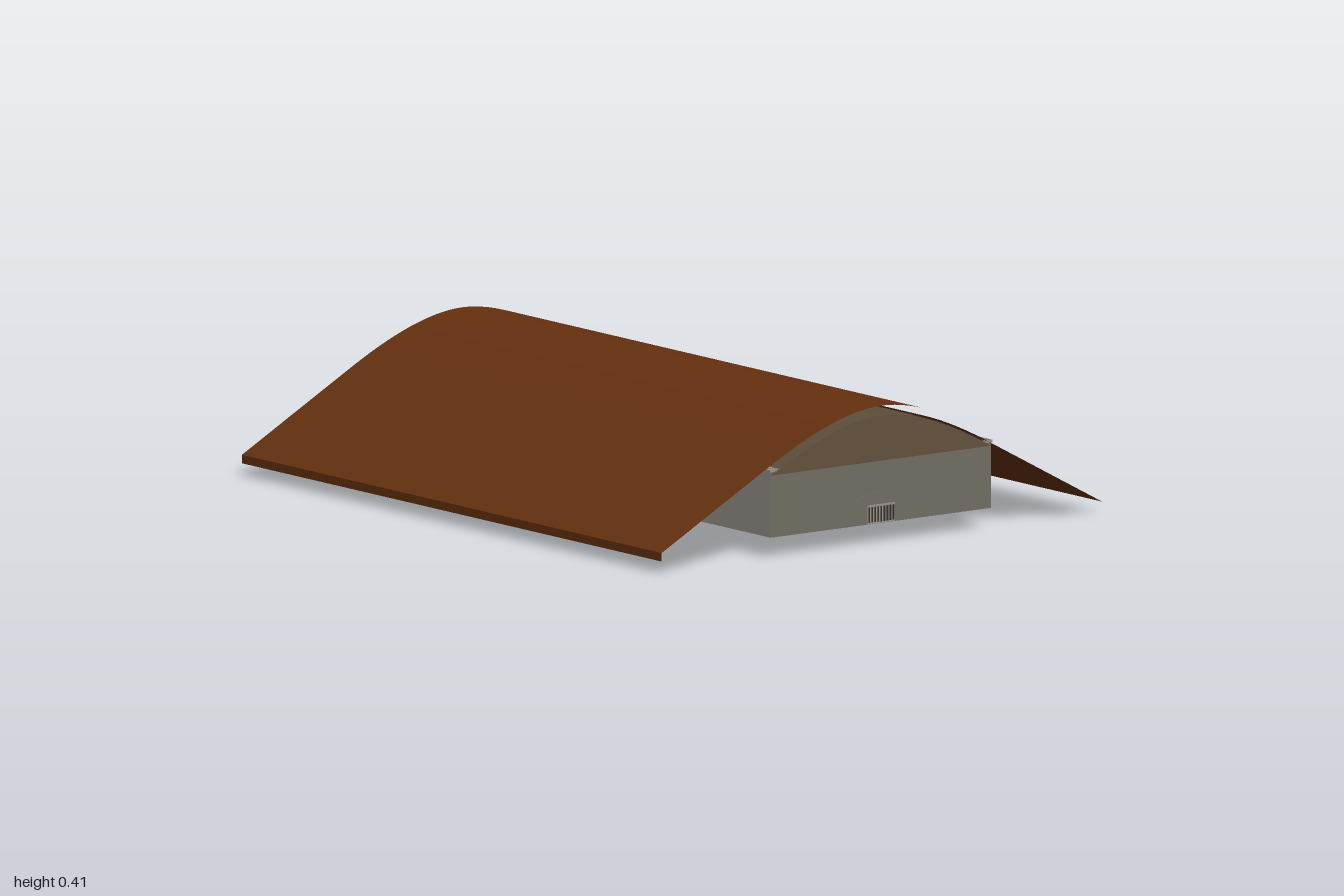
import * as THREE from 'three';

const mat = (name, color, side = THREE.FrontSide) => {
  const m = new THREE.MeshStandardMaterial({ color, side });
  m.name = name;
  return m;
};

// Straight eaves with a rounded crown, listed from -x to +x
function crownProfile(edge, shoulder, apex, control) {
  const half = new THREE.QuadraticBezierCurve(
    new THREE.Vector2(shoulder[0], shoulder[1]),
    new THREE.Vector2(control, apex),
    new THREE.Vector2(0, apex)
  ).getPoints(14);
  if (edge) half.unshift(new THREE.Vector2(edge[0], edge[1]));
  const left = half.map(p => new THREE.Vector2(-p.x, p.y));
  return left.concat(half.slice(0, -1).reverse());
}

// Sweep a profile in z; it faces the left-hand side of the profile direction
function ribbon(points, z0, z1) {
  const pos = [], index = [];
  points.forEach((p, i) => {
    pos.push(p.x, p.y, z1, p.x, p.y, z0);
    if (i) {
      const a = 2 * (i - 1);
      index.push(a, a + 2, a + 3, a, a + 3, a + 1);
    }
  });
  const g = new THREE.BufferGeometry();
  g.setAttribute('position', new THREE.Float32BufferAttribute(pos, 3));
  g.setIndex(index);
  g.computeVertexNormals();
  return g;
}

export function createModel() {
  const model = new THREE.Group();
  const roofBrown = mat('roof brown', 0x65300f);
  const olive = mat('olive grey', 0x706e62);
  const beige = mat('beige grey', 0x99928a);
  const backGrey = mat('back grey', 0x807d76);
  const tan = mat('tan', 0x80664a);
  const gableBrown = mat('gable brown', 0x63503c);
  const liningBrown = mat('lining brown', 0x5c4e3a, THREE.DoubleSide);
  const dark = mat('vent dark', 0x35302a);
  const finGrey = mat('fin grey', 0x706e62, THREE.DoubleSide);

  const add = (name, geometry, material, x = 0, y = 0, z = 0, parent = model) => {
    const m = new THREE.Mesh(geometry, material);
    m.name = name;
    m.position.set(x, y, z);
    parent.add(m);
    return m;
  };
  const box = (name, w, h, d, material, x, y, z, parent) =>
    add(name, new THREE.BoxGeometry(w, h, d), material, x, y, z, parent);

  // Roof: outer and inner skins joined along the eaves, open at the ends
  const roof = new THREE.Group();
  roof.name = 'roof';
  model.add(roof);
  const outer = crownProfile([0.8, 0.06], [0.4, 0.275], 0.405, 0.158);
  const inner = crownProfile([0.8, 0.035], [0.4, 0.25], 0.384, 0.158);
  const V = (x, y) => new THREE.Vector2(x, y);
  add('roofTop', ribbon(outer, -1, 1), roofBrown, 0, 0, 0, roof);
  add('roofUnderside', ribbon(inner.slice().reverse(), -1, 1), roofBrown, 0, 0, 0, roof);
  add('leftEave', ribbon([V(0.8, 0.06), V(0.8, 0.035)], -1, 1), roofBrown, 0, 0, 0, roof);
  add('rightEave', ribbon([V(-0.8, 0.035), V(-0.8, 0.06)], -1, 1), roofBrown, 0, 0, 0, roof);

  // Lining sheet under the crown, reaching past the back gable
  const arch = crownProfile(null, [0.4, 0.245], 0.379, 0.16);
  add('roofLining', ribbon(arch, -1, 1), liningBrown);

  // Gable block between body and roof
  const gable = new THREE.Shape(arch.map(p => V(p.x * 0.995, p.y - 0.002)));
  add('gable', new THREE.ExtrudeGeometry(gable, { depth: 1.858, bevelEnabled: false }),
    gableBrown, 0, 0, -0.86);

  // Body: light sides, olive front and floor, two-tone back
  add('body', new THREE.BoxGeometry(0.8, 0.2, 1.855),
    [beige, beige, olive, olive, olive, backGrey], 0, 0.16, 0.0675);
  box('bodyRim', 0.81, 0.008, 1.858, beige, 0, 0.256, 0.068);
  box('backLowerPanel', 0.8, 0.095, 0.004, tan, 0, 0.1075, -0.861);

  // Front port with slats under a shallow canopy
  const port = new THREE.Group();
  port.name = 'frontPort';
  model.add(port);
  box('portPlate', 0.1, 0.055, 0.003, beige, 0, 0.0885, 0.9955, port);
  for (let i = 0; i < 9; i++) {
    box('portSlat', 0.005, 0.045, 0.003, dark, -0.044 + i * 0.011, 0.0875, 0.997, port);
  }
  const canopy = new THREE.Shape();
  canopy.moveTo(-0.105, 0.125);
  canopy.lineTo(0.105, 0.125);
  canopy.quadraticCurveTo(0.06, 0.152, 0, 0.152);
  canopy.quadraticCurveTo(-0.06, 0.152, -0.105, 0.125);
  add('portCanopy', new THREE.ExtrudeGeometry(canopy, { depth: 0.003, bevelEnabled: false }),
    olive, 0, 0, 0.995, port);

  // Round feet under the floor
  const footSpots = [[0, -0.22], [0, 0.39]];
  for (const z of [-0.53, 0.085, 0.695]) footSpots.push([0.225, z], [-0.225, z]);
  for (const [x, z] of footSpots) {
    add('foot', new THREE.CylinderGeometry(0.065, 0.065, 0.012, 32), olive, x, 0.055, z);
  }

  // Small floor vent
  for (let i = 0; i < 5; i++) {
    box('floorVentSlat', 0.08, 0.004, 0.009, dark, -0.26, 0.059, 0.215 + i * 0.017);
  }

  // Curved thin fin under the right side, drawn in (-z, y)
  const fin = new THREE.Shape();
  fin.moveTo(0.24, 0.06);
  fin.lineTo(0.24, 0);
  fin.lineTo(0.34, 0.03);
  fin.quadraticCurveTo(0.46, 0.058, 0.85, 0.06);
  const finMesh = add('fin', new THREE.ShapeGeometry(fin), finGrey, -0.32, 0, 0);
  finMesh.rotation.y = Math.PI / 2;

  return model;
}
